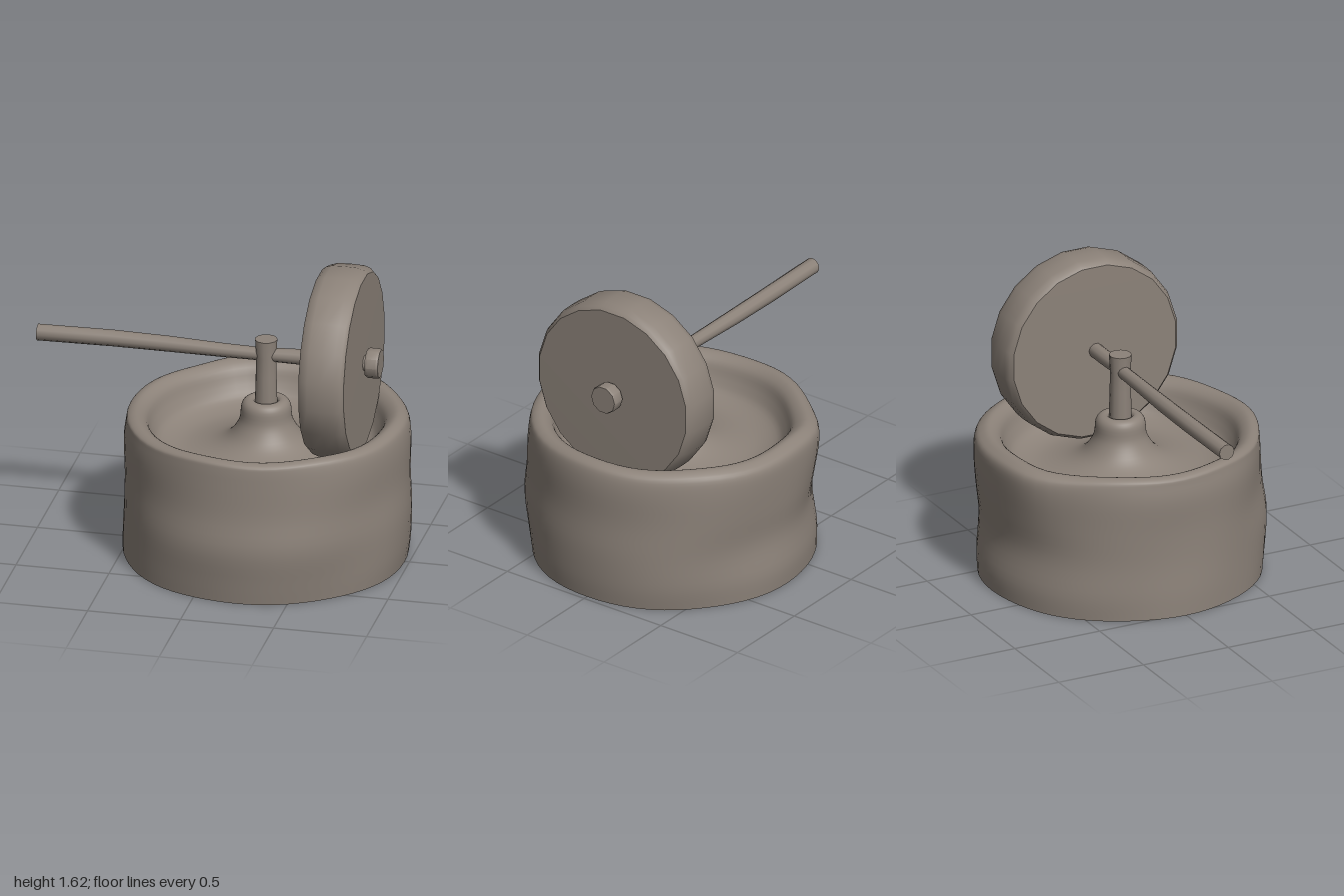
import * as THREE from 'three';
import { mergeVertices, toCreasedNormals } from 'three/addons/utils/BufferGeometryUtils.js';

const CX = 0.23; // centre line of the basin and post
const AXLE_Y = 1.115;

// Hand-hewn basin: four cross-sections (+x, +z, -x, -z) blended around the centre
function basinGeometry() {
  const heights = [0, 0.12, 0.3, 0.48, 0.65, 0.745];
  const outer = [
    [0.745, 0.76, 0.768, 0.76, 0.762, 0.75],
    [0.735, 0.75, 0.77, 0.748, 0.74, 0.735],
    [0.755, 0.752, 0.74, 0.738, 0.745, 0.735],
    [0.755, 0.76, 0.738, 0.755, 0.765, 0.76],
  ];
  // Rim, trough and raised central hub
  const inner = [[0.725, 0.78], [0.68, 0.79], [0.63, 0.755], [0.598, 0.68], [0.55, 0.615], [0.44, 0.585],
    [0.3, 0.605], [0.2, 0.655], [0.142, 0.74], [0.13, 0.825], [0.105, 0.857], [0.07, 0.857], [0.05, 0.82]];
  const curves = outer.map((radii) => new THREE.SplineCurve([
    ...radii.map((r, i) => new THREE.Vector2(r, heights[i])),
    ...inner.map(([r, y]) => new THREE.Vector2(r, y)),
  ]));
  const rows = 72, cols = 64, pos = [], index = [];
  for (let j = 0; j <= rows; j++) {
    const pts = curves.map((c) => c.getPoint(j / rows));
    for (let i = 0; i < cols; i++) {
      const a = (i / cols) * Math.PI * 2;
      const q = (i / cols) * 4, k = Math.floor(q), f = Math.sin((q - k) * Math.PI / 2) ** 2;
      const p = pts[k].clone().lerp(pts[(k + 1) % 4], f);
      const edge = THREE.MathUtils.smoothstep(p.x, 0.5, 0.74);
      const up = THREE.MathUtils.smoothstep(p.y, 0.3, 0.75);
      const bump = 0.025 * Math.exp(-(((a - 4.27) / 0.22) ** 2)) * up
        + 0.007 * Math.sin(5 * a + 6 * p.y) * Math.sin(2 * a);
      const r = p.x + edge * bump;
      const y = p.y + edge * up * 0.009 * Math.sin(4 * a + 1.5) * Math.cos(3 * a);
      pos.push(CX + r * Math.cos(a), y, r * Math.sin(a));
      if (j < rows) {
        const A = j * cols + i, B = j * cols + (i + 1) % cols;
        index.push(A, A + cols, B, B, A + cols, B + cols);
      }
    }
  }
  const g = new THREE.BufferGeometry();
  g.setAttribute('position', new THREE.Float32BufferAttribute(pos, 3));
  g.setIndex(index);
  g.computeVertexNormals();
  return g;
}

// Solid of revolution from [radius, height] points, with sharp caps
function turned(points, sides, crease = 0.7) {
  const g = new THREE.LatheGeometry(points.map(([r, y]) => new THREE.Vector2(r, y)), sides);
  g.deleteAttribute('uv');
  g.deleteAttribute('normal');
  return toCreasedNormals(mergeVertices(g), crease);
}

// Slightly crooked pole along x, swept through stations [x, y, z, radius]
function poleGeometry() {
  const stations = [[-1, 1.115, -0.008, 0.044], [-0.6, 1.117, -0.016, 0.044], [-0.3, 1.115, -0.013, 0.042],
    [0, 1.112, -0.004, 0.037], [0.2, 1.112, 0, 0.035], [0.4, 1.115, 0, 0.041], [0.8, 1.115, 0, 0.041]];
  const g = new THREE.CylinderGeometry(1, 1, 1, 10, stations.length - 1);
  const p = g.attributes.position;
  for (let i = 0; i < p.count; i++) {
    const s = stations[Math.round((p.getY(i) + 0.5) * (stations.length - 1))];
    p.setXYZ(i, s[0], s[1] - p.getX(i) * s[3], s[2] + p.getZ(i) * s[3]);
  }
  g.deleteAttribute('uv');
  g.deleteAttribute('normal');
  return toCreasedNormals(mergeVertices(g), 0.8);
}

export function createModel() {
  const group = new THREE.Group();
  const stone = new THREE.MeshStandardMaterial({ color: 0x8c8279, side: THREE.DoubleSide });
  stone.name = 'weathered stone';

  const add = (name, geometry, x = 0, y = 0, z = 0) => {
    const mesh = new THREE.Mesh(geometry, stone);
    mesh.name = name;
    mesh.position.set(x, y, z);
    group.add(mesh);
    return mesh;
  };

  add('basin', basinGeometry());

  // Upright post in the hub
  add('post', turned([[0, 0.6], [0.058, 0.6], [0.06, 0.85], [0.056, 1.0], [0.054, 1.1], [0.06, 1.2], [0, 1.2]], 12), CX);

  add('pole', poleGeometry());

  // Millstone wheel with a rounded tread
  const wheel = add('wheel', turned([[0, -0.125], [0.482, -0.122], [0.499, -0.105], [0.51, -0.07], [0.512, 0],
    [0.51, 0.07], [0.499, 0.105], [0.482, 0.122], [0, 0.125]], 20, 0.75), 0.633, 1.112, -0.005);
  wheel.rotation.set(Math.PI / 20, 0, -Math.PI / 2, 'XYZ');

  // End stop on the pole
  const stop = add('endStop', turned([[0, -0.036], [0.075, -0.036], [0.08, -0.025], [0.08, 0.025], [0.076, 0.036], [0, 0.036]], 10), 0.808, AXLE_Y, -0.007);
  stop.rotation.z = -Math.PI / 2;

  return group;
}
